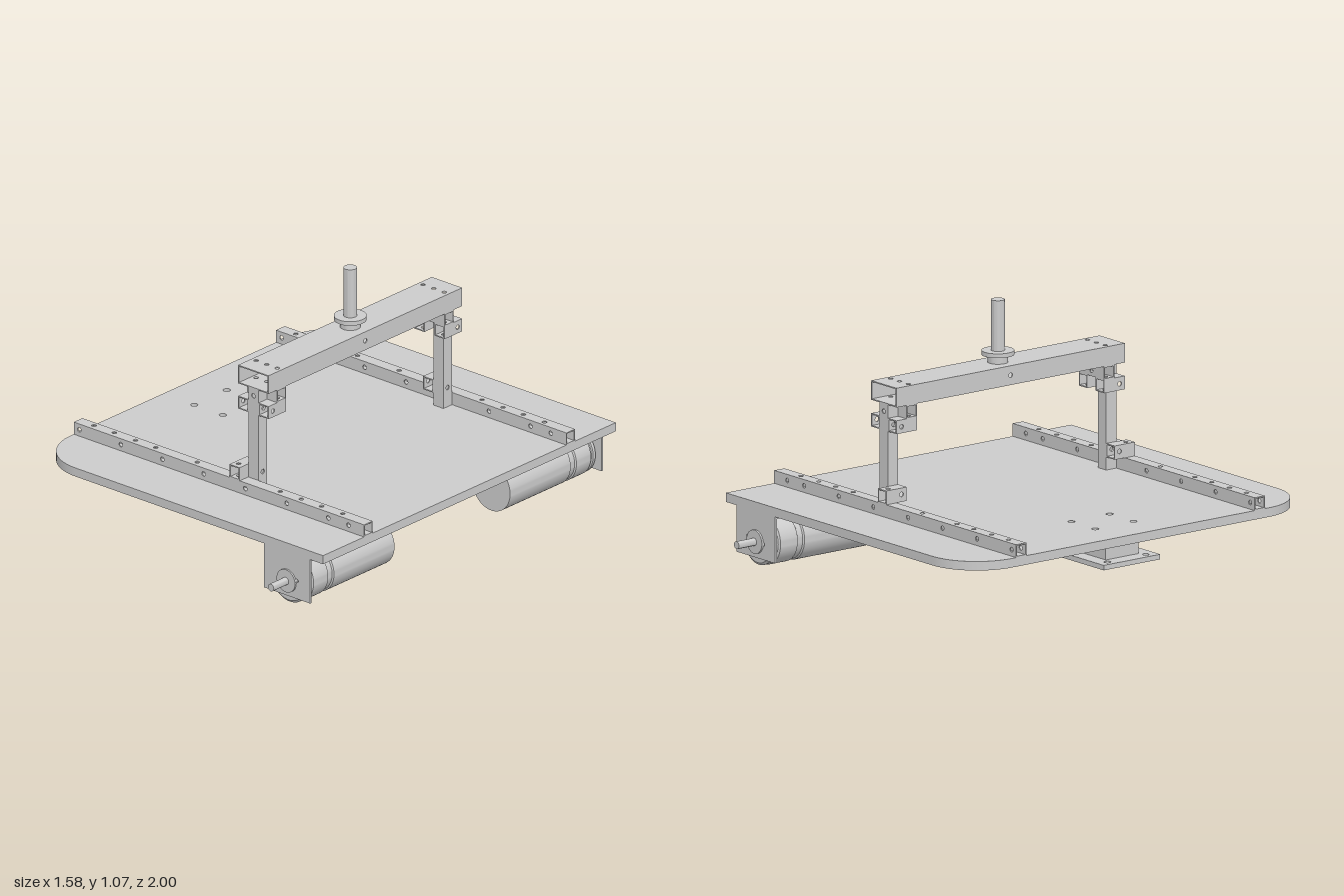
import * as THREE from 'three';
import { mergeGeometries, toCreasedNormals } from 'three/addons/utils/BufferGeometryUtils.js';

const WALL = 0.005;
const HOLE = 0.01;
const material = new THREE.MeshStandardMaterial({ color: 0xcccccc });

function addMesh(parent, name, geometry) {
  const mesh = new THREE.Mesh(geometry, material);
  mesh.name = name;
  parent.add(mesh);
  return mesh;
}

// Extrude a shape along axis n (0 = x, 1 = y, 2 = z) from a to b, with round holes
function slab(shape, n, a, b, holes = [], r = HOLE) {
  const u = (n + 1) % 3, v = (n + 2) % 3;
  for (const p of holes) {
    const path = new THREE.Path();
    path.absarc(p[u], p[v], r, 0, Math.PI * 2, true);
    shape.holes.push(path);
  }
  const geometry = new THREE.ExtrudeGeometry(shape, { depth: b - a, bevelEnabled: false, curveSegments: 10 });
  const axis = (i) => new THREE.Vector3().setComponent(i, 1);
  geometry.translate(0, 0, a);
  return geometry.applyMatrix4(new THREE.Matrix4().makeBasis(axis(u), axis(v), axis(n)));
}

// Rectangular plate with its normal along axis n
function plate(min, max, n, holes, r) {
  const u = (n + 1) % 3, v = (n + 2) % 3;
  const shape = new THREE.Shape([
    new THREE.Vector2(min[u], min[v]), new THREE.Vector2(max[u], min[v]),
    new THREE.Vector2(max[u], max[v]), new THREE.Vector2(min[u], max[v]),
  ]);
  return slab(shape, n, min[n], max[n], holes, r);
}

// Hollow rectangular tube open along one axis; holes are listed per wall normal
function tube(min, max, along, holes = {}) {
  const walls = [];
  const p = (along + 1) % 3, q = (along + 2) % 3;
  for (const [n, other, inset] of [[p, q, 0], [q, p, WALL]]) {
    for (const far of [false, true]) {
      const lo = [...min], hi = [...max];
      lo[other] += inset;
      hi[other] -= inset;
      if (far) lo[n] = hi[n] - WALL;
      else hi[n] = lo[n] + WALL;
      walls.push(plate(lo, hi, n, holes[n]));
    }
  }
  return mergeGeometries(walls);
}

// Revolved part from [radius, height] points, with crisp edges
function turned(points, segments = 48) {
  const geometry = new THREE.LatheGeometry(points.map(([r, y]) => new THREE.Vector2(r, y)), segments);
  return toCreasedNormals(geometry, 0.6);
}

export function createModel() {
  const model = new THREE.Group();
  model.name = 'wheeledPlatformChassis';

  const railTopX = [-0.705, -0.595, -0.48, -0.37, -0.145, 0.08, 0.305, 0.42, 0.53, 0.645];
  const railSideX = [-0.76, -0.535, -0.31, -0.085, 0.14, 0.365, 0.59, 0.7];
  const postX = [0.08, 0.138, 0.195];

  // Base board: rounded corners at the -x end, outlined in (z, x)
  const R = 0.23, W = 0.9, X0 = -0.79, X1 = 0.785;
  const outline = new THREE.Shape();
  outline.moveTo(W, X1);
  outline.lineTo(-W, X1);
  outline.lineTo(-W, X0 + R);
  outline.absarc(-W + R, X0 + R, R, Math.PI, Math.PI * 1.5, false);
  outline.lineTo(W - R, X0);
  outline.absarc(W - R, X0 + R, R, Math.PI * 1.5, Math.PI * 2, false);
  for (const x of [-0.62, -0.465]) {
    for (const z of [-0.1, 0.1]) {
      const hole = new THREE.Path();
      hole.absarc(z, x, 0.015, 0, Math.PI * 2, true);
      outline.holes.push(hole);
    }
  }
  const boardHoles = [-0.62, 0.62].flatMap((z) => railTopX.map((x) => [x, 0, z]));
  addMesh(model, 'baseBoard', toCreasedNormals(slab(outline, 1, 0.23, 0.268, boardHoles), 0.5));

  for (const s of [1, -1]) {
    const side = new THREE.Group();
    side.name = s > 0 ? 'frontSide' : 'backSide';
    model.add(side);

    // Mirror ranges and hole positions in z for the back side
    const flip = ([x, y, z]) => [x, y, s * z];
    const range = (min, max) => s > 0 ? [min, max]
      : [[min[0], min[1], -max[2]], [max[0], max[1], -min[2]]];
    const addTube = (name, min, max, along, holes) => {
      const flipped = {};
      for (const n in holes) flipped[n] = holes[n].map(flip);
      addMesh(side, name, tube(...range(min, max), along, flipped));
    };

    // Long rail and upright post
    addTube('rail', [X0, 0.268, 0.595], [X1, 0.322, 0.648], 0, {
      1: railTopX.map((x) => [x, 0, 0.62]),
      2: railSideX.map((x) => [x, 0.296, 0]),
    });
    addTube('post', [0.11, 0.268, 0.542], [0.165, 0.722, 0.595], 1, {
      0: [[0, 0.353, 0.568], [0, 0.637, 0.568]],
      2: [[0.138, 0.69, 0]],
    });

    // Short tubes joining post to rail and post to beam
    addTube('footBracket', [0.055, 0.322, 0.542], [0.11, 0.38, 0.648], 2, {
      0: [[0, 0.353, 0.568]], 1: [[0.08, 0, 0.62]],
    });
    for (const x of [0.055, 0.165]) {
      addTube('headBracket', [x, 0.61, 0.487], [x + 0.055, 0.666, 0.595], 2, {
        0: [[0, 0.637, 0.568]], 1: [[x + 0.0275, 0, 0.513]],
      });
    }
    addTube('crossBracket', [0.055, 0.666, 0.487], [0.22, 0.722, 0.542], 0, {
      1: postX.map((x) => [x, 0, 0.513]), 2: [[0.138, 0.69, 0]],
    });

    // Angle bracket carrying the motor
    addMesh(side, 'motorPlate', plate(...range([0.465, 0.035, 0.89], [0.715, 0.23, 0.9]), 2,
      [[0.54, 0.1, 0], [0.643, 0.115, 0]], 0.008));
    addMesh(side, 'motorFlange', plate(...range([0.465, 0.22, 0.79], [0.715, 0.23, 0.89]), 1));

    // Motor body with grooved gearbox, hub and output shaft
    const motor = addMesh(side, 'motor', turned([
      [0, 0.355], [0.102, 0.355], [0.102, 0.727], [0.096, 0.732], [0.096, 0.758],
      [0.102, 0.763], [0.102, 0.852], [0.093, 0.857], [0.093, 0.865],
      [0.1, 0.868], [0.1, 0.882], [0.09, 0.89], [0, 0.89],
    ], 64));
    const hub = addMesh(side, 'motorHub', turned([
      [0, 0.89], [0.05, 0.89], [0.05, 0.908], [0.016, 0.908], [0.016, 1], [0, 1],
    ], 32));
    for (const part of [motor, hub]) {
      part.position.set(0.59, 0.102, 0);
      part.rotation.x = s * Math.PI / 2;
    }
  }

  // Hollow cross beam
  addMesh(model, 'crossBeam', tube([0.055, 0.722, -0.595], [0.22, 0.803, 0.595], 2, {
    0: [[0, 0.763, 0]],
    1: [-0.513, 0.513].flatMap((z) => postX.map((x) => [x, 0, z])),
  }));

  // Vertical pin with stepped collar
  const pin = addMesh(model, 'pin', turned([
    [0, 0.73], [0.028, 0.73], [0.028, 0.803], [0.042, 0.803], [0.042, 0.835],
    [0.067, 0.835], [0.067, 0.853], [0.028, 0.853], [0.028, 1.066], [0, 1.066],
  ]));
  pin.position.x = 0.138;

  // Support under the -x end: mounting plate, block and foot plate
  const support = new THREE.Group();
  support.name = 'support';
  model.add(support);
  addMesh(support, 'mountingPlate', plate([-0.67, 0.205, -0.128], [-0.417, 0.23, 0.128], 1,
    [-0.62, -0.465].flatMap((x) => [[x, 0, -0.1], [x, 0, 0.1]]), 0.015));
  addMesh(support, 'block', plate([-0.67, 0.145, -0.085], [-0.417, 0.205, 0.085], 1));
  addMesh(support, 'footPlate', plate([-0.735, 0.124, -0.147], [-0.345, 0.145, 0.147], 1,
    [-0.7, -0.38].flatMap((x) => [[x, 0, -0.1], [x, 0, 0.1]]), 0.014));

  return model;
}
